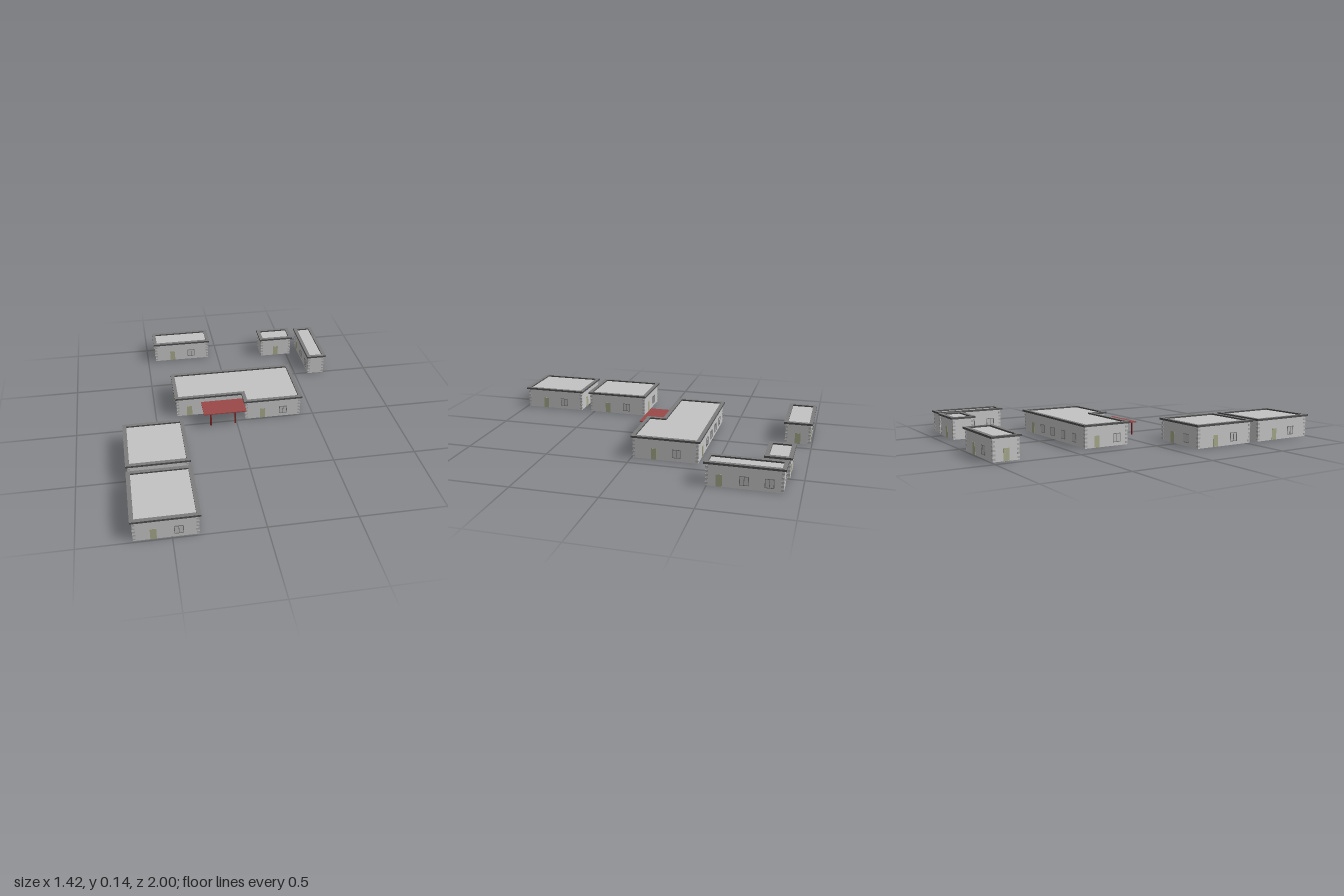
import * as THREE from 'three';

const mat = (name, color, double) => {
  const m = new THREE.MeshStandardMaterial({ color });
  m.name = name;
  if (double) m.side = THREE.DoubleSide;
  return m;
};

const WALL_INSET = 0.011, RIM = 0.023, WALL_TOP = 0.126, TOP = 0.137, PITCH = 0.133;

// Roof outlines as [x, z] corners: front edge first, running towards +x
const rect = (x0, x1, z0, z1) => [[x0, z1], [x1, z1], [x1, z0], [x0, z0]];
const buildings = {
  frontBlock: rect(-0.714, -0.347, 0.583, 1.0),
  secondBlock: rect(-0.714, -0.347, 0.13, 0.54),
  mainBlock: [[-0.375, -0.098], [0.05, -0.098], [0.05, 0.003], [0.426, 0.003], [0.426, -0.407], [-0.375, -0.407]],
  rearBlock: rect(-0.456, -0.058, -1.0, -0.826),
  smallBlock: rect(0.305, 0.54, -0.932, -0.78),
  narrowBlock: rect(0.58, 0.711, -0.917, -0.482),
};

const edgeDir = (a, b) => {
  const l = Math.hypot(b[0] - a[0], b[1] - a[1]);
  return [(b[0] - a[0]) / l, (b[1] - a[1]) / l, l];
};

// Shrinks a right-angled outline by t
const inset = (pts, t) => pts.map((p, i) => {
  const n = pts.length;
  const d = edgeDir(pts[(i + n - 1) % n], p), e = edgeDir(p, pts[(i + 1) % n]);
  return [p[0] + t * (d[1] + e[1]), p[1] - t * (d[0] + e[0])];
});

const toVectors = (pts) => pts.map(([x, z]) => new THREE.Vector2(x, -z));

export function createModel() {
  const root = new THREE.Group();
  root.name = 'buildingComplex';

  const wallMat = mat('wallGrey', 0xc6c6c6, true);
  const roofMat = mat('roofGrey', 0xc3c3c3, true);
  const rimMat = mat('rimGrey', 0x7c7c7c);
  const corniceMat = mat('corniceDark', 0x505050);
  const quoinMat = mat('quoinGrey', 0xa8a8a8);
  const doorMat = mat('doorOlive', 0xa6a98a);
  const frameMat = mat('frameGrey', 0x777777);
  const glassMat = mat('glassGrey', 0xbcbcbc);
  const canopyMat = mat('canopyRed', 0x9a4848);
  const postMat = mat('postRed', 0x7c2626);

  const add = (parent, name, geo, material, x = 0, y = 0, z = 0) => {
    const m = new THREE.Mesh(geo, material);
    m.name = name;
    m.position.set(x, y, z);
    parent.add(m);
    return m;
  };
  const box = (w, h, d) => new THREE.BoxGeometry(w, h, d);

  // Window frame outline with its opening
  const frameShape = new THREE.Shape(toVectors(rect(-0.025, 0.025, -0.026, 0.026)));
  frameShape.holes.push(new THREE.Path(toVectors(rect(-0.0215, 0.0215, -0.0225, 0.0225))));
  const frameGeo = new THREE.ExtrudeGeometry(frameShape, { depth: 0.003, bevelEnabled: false });
  const mullionGeo = box(0.003, 0.045, 0.003);
  const glassGeo = box(0.044, 0.046, 0.001);
  const doorGeo = box(0.034, 0.068, 0.002);
  const quoinGeo = box(0.016, 0.011, 0.016);

  for (const [name, outline] of Object.entries(buildings)) {
    const g = new THREE.Group();
    g.name = name;
    root.add(g);
    const foot = inset(outline, WALL_INSET);

    // Walls, each with a centred row of openings that starts with a door
    foot.forEach((a, i) => {
      const b = foot[(i + 1) % foot.length];
      const [dx, dz, len] = edgeDir(a, b);
      const side = new THREE.Group();
      side.name = 'wallSide';
      side.position.set((a[0] + b[0]) / 2, 0, (a[1] + b[1]) / 2);
      side.rotation.y = Math.atan2(-dz, dx);
      g.add(side);
      add(side, 'wall', new THREE.PlaneGeometry(len, WALL_TOP), wallMat, 0, WALL_TOP / 2, 0);
      const count = Math.floor(len / 0.136);
      for (let k = 0; k < count; k++) {
        const x = (k - (count - 1) / 2) * PITCH;
        if (k === 0) {
          add(side, 'door', doorGeo, doorMat, x, 0.035, 0.001);
        } else {
          add(side, 'windowFrame', frameGeo, frameMat, x, 0.047, 0);
          add(side, 'windowMullion', mullionGeo, frameMat, x, 0.047, 0.0015);
          add(side, 'windowGlass', glassGeo, glassMat, x, 0.047, 0.0005);
        }
      }

      // Corner stones on outward corners
      const next = edgeDir(b, foot[(i + 2) % foot.length]);
      if (dx * next[1] - dz * next[0] < 0) {
        const p = inset(foot, 0.0065)[(i + 1) % foot.length];
        for (let k = 0; k < 5; k++) add(g, 'cornerStone', quoinGeo, quoinMat, p[0], 0.014 + k * 0.023, p[1]);
      }
    });

    // Flat roof deck
    const deck = new THREE.ShapeGeometry(new THREE.Shape(toVectors(inset(outline, WALL_INSET))));
    deck.rotateX(-Math.PI / 2);
    add(g, 'roofDeck', deck, roofMat, 0, 0.128, 0);

    // Raised rim with dark edges
    const rimShape = new THREE.Shape(toVectors(outline));
    rimShape.holes.push(new THREE.Path(toVectors(inset(outline, RIM))));
    const rim = new THREE.ExtrudeGeometry(rimShape, { depth: TOP - 0.125, bevelEnabled: false });
    rim.rotateX(-Math.PI / 2);
    add(g, 'roofRim', rim, [rimMat, corniceMat], 0, 0.125, 0);
  }

  // Entrance canopy on two posts
  const canopy = new THREE.Group();
  canopy.name = 'entranceCanopy';
  root.add(canopy);
  add(canopy, 'canopyRoof', box(0.268, 0.006, 0.146), canopyMat, -0.077, 0.1, -0.019);
  for (const x of [-0.168, -0.015]) add(canopy, 'canopyPost', box(0.01, 0.082, 0.006), postMat, x, 0.058, 0.05);

  return root;
}
